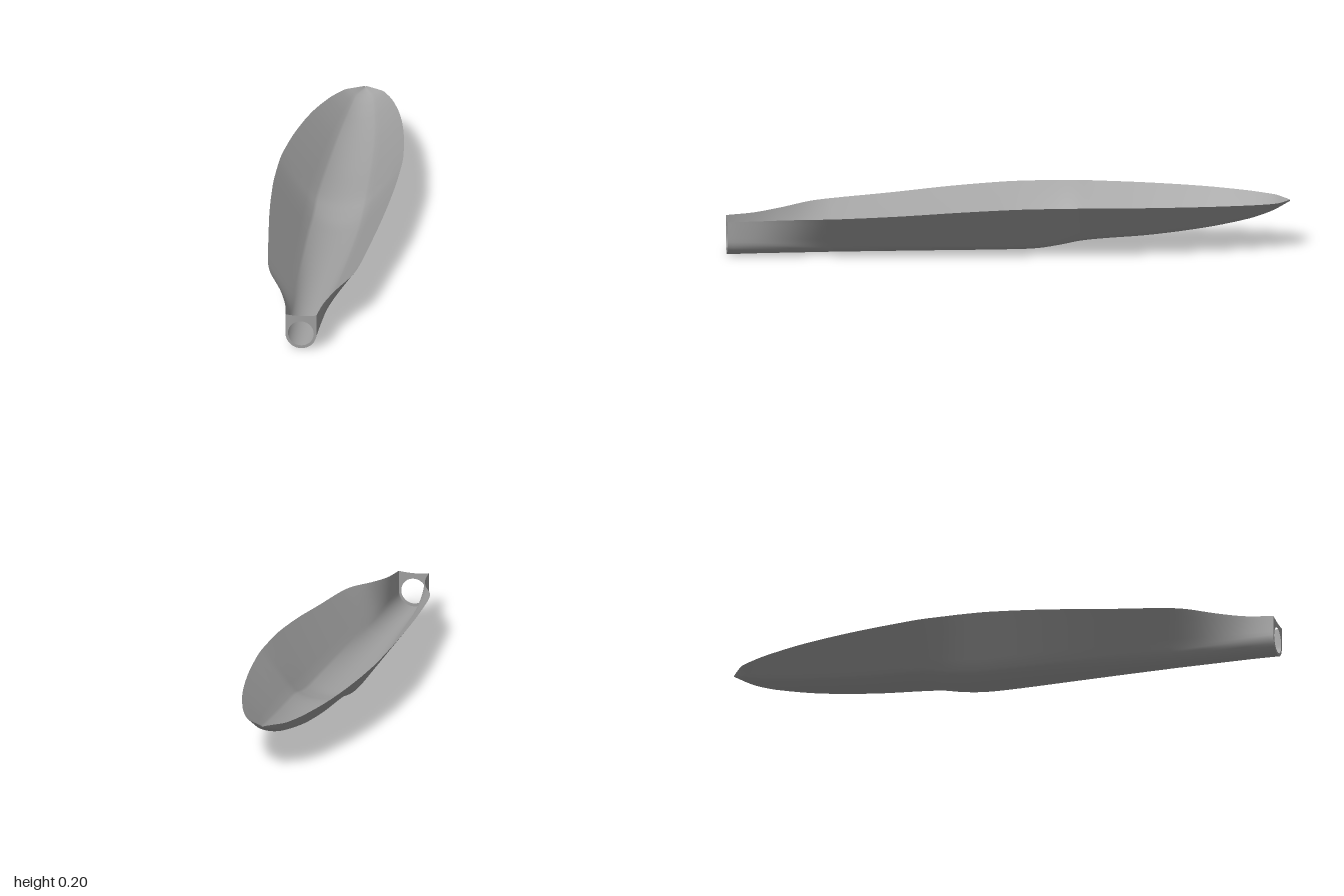
import * as THREE from 'three';

// Hull stations from bow to stern tip:
// [z, rim half-width, rim height, chine half-width, chine height, keel height]
const stations = [
  [1.0, 0.055, 0.128, 0.055, 0.055, 0.0],
  [0.9, 0.069, 0.133, 0.058, 0.053, 0.002],
  [0.8, 0.1, 0.143, 0.062, 0.05, 0.003],
  [0.7, 0.142, 0.154, 0.067, 0.047, 0.004],
  [0.62, 0.161, 0.159, 0.071, 0.045, 0.005],
  [0.4, 0.185, 0.172, 0.08, 0.04, 0.006],
  [0.2, 0.204, 0.187, 0.087, 0.036, 0.007],
  [0.0, 0.216, 0.198, 0.092, 0.034, 0.008],
  [-0.1, 0.218, 0.2, 0.092, 0.036, 0.011],
  [-0.18, 0.218, 0.2, 0.092, 0.045, 0.023],
  [-0.25, 0.217, 0.2, 0.092, 0.06, 0.036],
  [-0.32, 0.213, 0.198, 0.09, 0.066, 0.043],
  [-0.5, 0.194, 0.193, 0.083, 0.076, 0.054],
  [-0.7, 0.159, 0.186, 0.07, 0.095, 0.078],
  [-0.85, 0.116, 0.179, 0.053, 0.12, 0.106],
  [-0.92, 0.086, 0.175, 0.041, 0.137, 0.128],
  [-0.96, 0.06, 0.173, 0.03, 0.152, 0.146],
  [-1.0, 0.002, 0.17, 0.001, 0.167, 0.166],
];

// Smooth (Hermite) value of one column at segment i, fraction t
function sample(i, t, col) {
  const last = stations.length - 1;
  const slope = (j) => {
    const a = stations[Math.max(j - 1, 0)];
    const b = stations[Math.min(j + 1, last)];
    return (b[col] - a[col]) / (b[0] - a[0]);
  };
  const p = stations[i], q = stations[i + 1], d = q[0] - p[0];
  const t2 = t * t, t3 = t2 * t;
  return (2 * t3 - 3 * t2 + 1) * p[col] + (t3 - 2 * t2 + t) * d * slope(i)
    + (3 * t2 - 2 * t3) * q[col] + (t3 - t2) * d * slope(i + 1);
}

// Right-to-left section: straight flank, round bottom arc, straight flank
function section([, w, r, b, c, k]) {
  const flank = 5, arc = 8, half = [];
  const h = c - k, radius = (b * b + h * h) / (2 * h), sweep = 2 * Math.atan2(h, b);
  for (let j = 0; j < arc; j++) {
    const a = sweep * j / arc;
    half.push([radius * Math.sin(a), k + radius * (1 - Math.cos(a))]);
  }
  for (let j = 0; j <= flank; j++) {
    const t = j / flank;
    half.push([b + (w - b) * t, c + (r - c) * t]);
  }
  return [...half.slice(1).reverse().map(([x, y]) => [-x, y]), ...half];
}

// Thin open hull lofted through the sections
function hullGeometry() {
  const rows = [];
  const steps = 5;
  for (let i = 0; i < stations.length - 1; i++) {
    // The last segment runs straight to the pointed tip
    const tip = i >= stations.length - 2;
    for (let s = 0; s < steps; s++) {
      const t = s / steps;
      rows.push(stations[i].map((v, col) => (tip || col === 0
        ? v + (stations[i + 1][col] - v) * t : sample(i, t, col))));
    }
  }
  rows.push(stations[stations.length - 1]);

  const positions = [], index = [];
  let n = 0;
  rows.forEach((row) => {
    const pts = section(row);
    n = pts.length;
    pts.forEach(([x, y]) => positions.push(x, y, row[0]));
  });
  for (let i = 0; i < rows.length - 1; i++) {
    for (let j = 0; j < n - 1; j++) {
      const a = i * n + j, b = a + n;
      index.push(a, b, a + 1, a + 1, b, b + 1);
    }
  }
  const geometry = new THREE.BufferGeometry();
  geometry.setAttribute('position', new THREE.Float32BufferAttribute(positions, 3));
  geometry.setIndex(index);
  geometry.computeVertexNormals();
  return geometry;
}

// U-shaped bow plate with a dished top edge and a round socket hole
function bowPlateGeometry() {
  const r = 0.055, top = 0.128;
  const shape = new THREE.Shape();
  shape.moveTo(-r, top);
  shape.lineTo(-r, r);
  shape.absarc(0, r, r, Math.PI, Math.PI * 2, false);
  shape.lineTo(r, top);
  shape.quadraticCurveTo(0, top - 0.009, -r, top);
  const hole = new THREE.Path();
  hole.absarc(0, 0.057, 0.046, 0, Math.PI * 2, true);
  shape.holes.push(hole);
  return new THREE.ShapeGeometry(shape, 24);
}

export function createModel() {
  const group = new THREE.Group();
  group.name = 'openHullScoop';

  const grey = new THREE.MeshStandardMaterial({ color: 0xa0a0a0, side: THREE.DoubleSide });
  grey.name = 'plain grey';

  const hull = new THREE.Mesh(hullGeometry(), grey);
  hull.name = 'hull';
  group.add(hull);

  const plate = new THREE.Mesh(bowPlateGeometry(), grey);
  plate.name = 'bowPlate';
  plate.position.z = 1;
  group.add(plate);

  return group;
}
